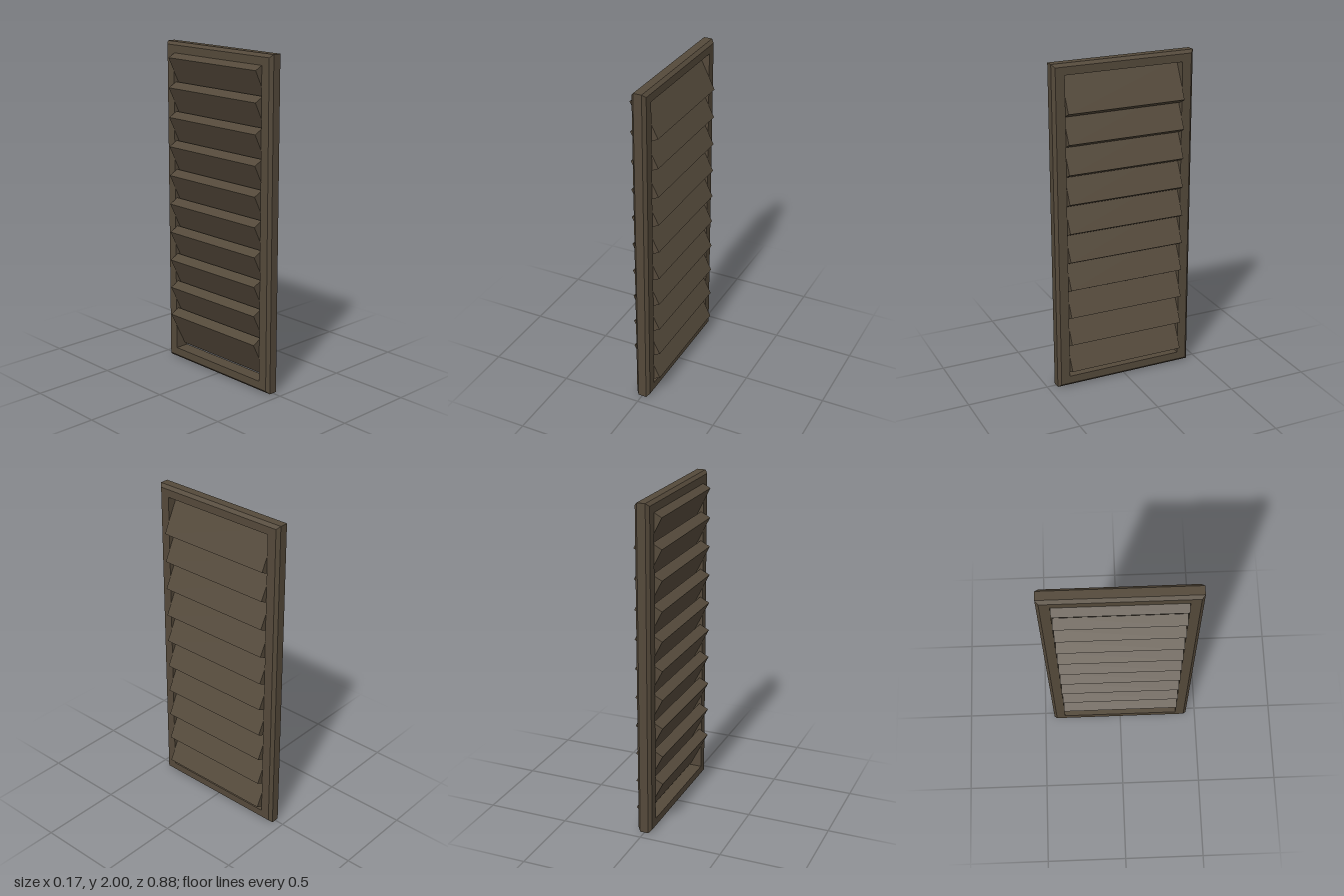
import * as THREE from 'three';

const wood = new THREE.MeshStandardMaterial({ color: 0x54493a });
wood.name = 'dark brown wood';

const HALF_WIDTH = 0.441;
const HEIGHT = 2;

// Sweeps a closed profile of [x, z inset, y inset] points round the four corners of the shutter.
function sweepFrame(profile) {
  const corners = [[1, 0], [-1, 0], [-1, 1], [1, 1]];
  const point = ([x, dz, dy], [side, top]) =>
    [x, top ? HEIGHT - dy : dy, side * (HALF_WIDTH - dz)];
  const positions = [];
  corners.forEach((corner, c) => {
    const nextCorner = corners[(c + 1) % 4];
    profile.forEach((p, i) => {
      const q = profile[(i + 1) % profile.length];
      const a = point(p, corner), b = point(q, corner);
      const d = point(p, nextCorner), e = point(q, nextCorner);
      positions.push(...a, ...d, ...b, ...b, ...d, ...e);
    });
  });
  const geometry = new THREE.BufferGeometry();
  geometry.setAttribute('position', new THREE.Float32BufferAttribute(positions, 3));
  geometry.computeVertexNormals();
  return geometry;
}

export function createModel() {
  const model = new THREE.Group();
  model.name = 'louveredShutter';

  // Frame with chamfered outer edges and a straight-sided opening
  const frame = new THREE.Mesh(sweepFrame([
    [-0.042, 0.018, 0.018],
    [-0.024, 0, 0],
    [0.027, 0, 0],
    [0.045, 0.018, 0.018],
    [0.045, 0.074, 0.065],
    [-0.042, 0.074, 0.065],
  ]), wood);
  frame.name = 'frame';
  model.add(frame);

  // Ten thick slats, tilted so the outer edge hangs low
  const slats = new THREE.Group();
  slats.name = 'slats';
  const slatGeometry = new THREE.BoxGeometry(0.066, 0.246, 0.728);
  for (let i = 0; i < 10; i++) {
    const slat = new THREE.Mesh(slatGeometry, wood);
    slat.name = 'slat' + (i + 1);
    slat.position.set(-0.002, 0.207 + i * 0.1787, 0);
    slat.rotation.z = 0.468;
    slats.add(slat);
  }
  model.add(slats);

  return model;
}
